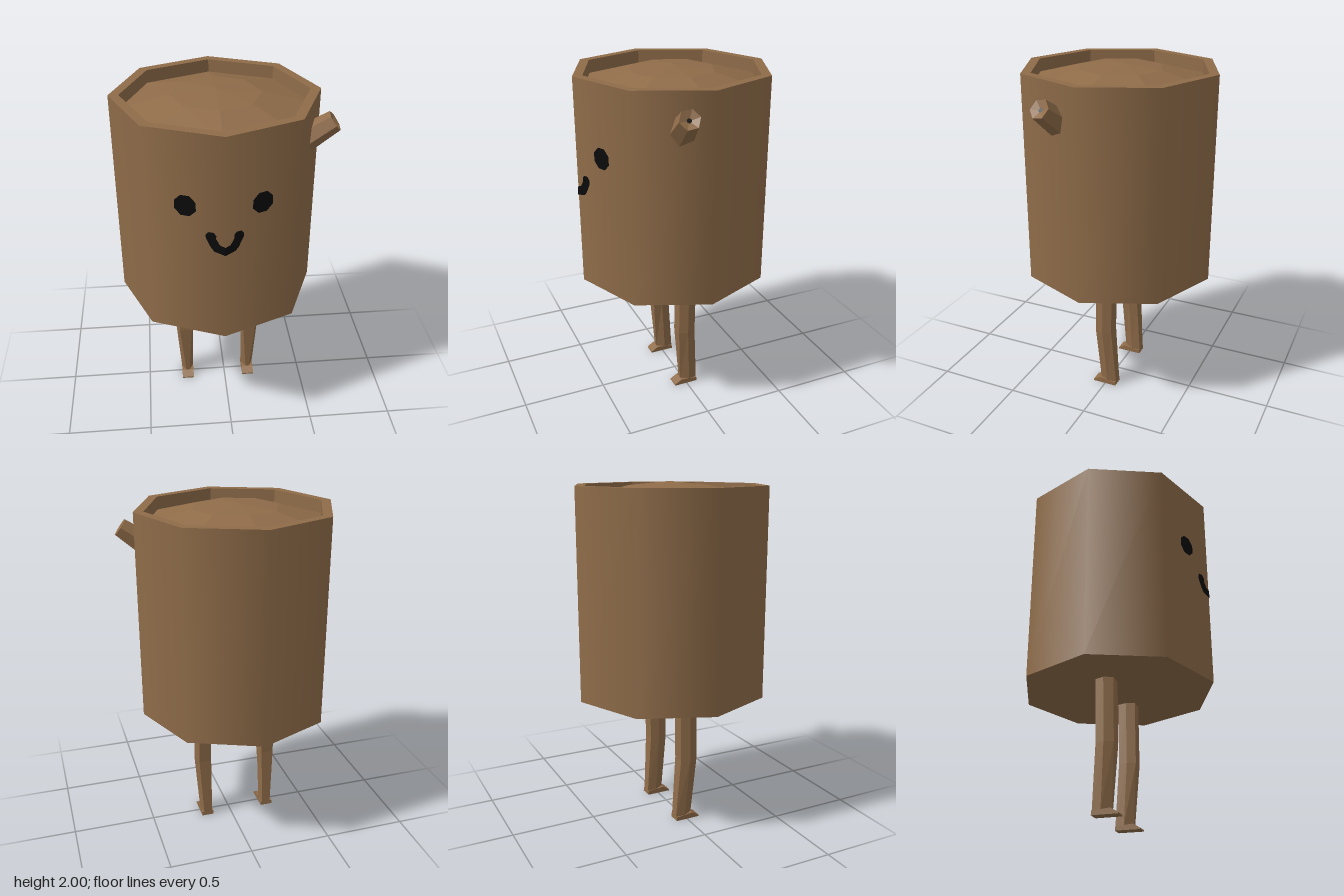
import * as THREE from 'three';

const CX = -0.045;   // body axis
const R = 0.572;     // body radius, corner to axis
const V = (x, y) => new THREE.Vector2(x, y);

// Unshare vertices so every face is flat
function flat(geo) {
  const g = geo.index ? geo.toNonIndexed() : geo;
  g.computeVertexNormals();
  return g;
}

export function createModel() {
  const model = new THREE.Group();
  const wood = new THREE.MeshStandardMaterial({ color: 0x8f6c49 });
  wood.name = 'wood brown';
  const black = new THREE.MeshStandardMaterial({ color: 0x0a0a0a });
  black.name = 'black';

  const add = (parent, name, geo, mat) => {
    const mesh = new THREE.Mesh(geo, mat);
    mesh.name = name;
    parent.add(mesh);
    return mesh;
  };

  // Body: smooth eight-sided wall, flat underside, rim with a domed lid set into it
  const body = new THREE.Group();
  body.name = 'body';
  body.position.x = CX;
  model.add(body);
  const wall = add(body, 'wall', new THREE.CylinderGeometry(R, R, 1.215, 8, 1, true), wood);
  wall.position.y = 1.3725;
  add(body, 'underside', flat(new THREE.LatheGeometry([V(0, 0.765), V(R, 0.765)], 8)), wood);
  add(body, 'rimAndLid', flat(new THREE.LatheGeometry(
    [V(R, 1.98), V(0.515, 1.98), V(0.515, 1.905), V(0.25, 1.975), V(0, 2)], 8)), wood);

  // Face: one eye and half the smile on each of the two front panels
  const smile = [[0, 1.31], [0.055, 1.325], [0.072, 1.345], [0.098, 1.4], [0.1, 1.42], [0.085, 1.44],
    [0.06, 1.44], [0.046, 1.425], [0.047, 1.405], [0.028, 1.37], [0, 1.36]];
  for (const side of [-1, 1]) {
    const panel = new THREE.Group();
    panel.name = side > 0 ? 'leftFacePanel' : 'rightFacePanel';
    panel.position.z = R + 0.004;
    panel.rotation.y = side * Math.PI / 8;
    body.add(panel);
    const eye = add(panel, 'eye', new THREE.CircleGeometry(0.063, 8, Math.PI / 8), black);
    eye.position.set(side * 0.216, 1.575, 0);
    const half = new THREE.Shape(smile.map(([x, y]) => V(side * x / 0.924, y)));
    add(panel, 'smileHalf', new THREE.ShapeGeometry(half), black);
  }

  // Branch stub: six-sided, with a hollowed tip and a dark pith
  const from = new THREE.Vector3(0.42, 1.752, 0.142);
  const to = new THREE.Vector3(0.575, 1.864, 0.172);
  const length = from.distanceTo(to);
  const branch = new THREE.Group();
  branch.name = 'branch';
  branch.position.copy(from);
  branch.quaternion.setFromUnitVectors(new THREE.Vector3(0, 1, 0), to.clone().sub(from).normalize());
  model.add(branch);
  add(branch, 'branchWood', flat(new THREE.LatheGeometry(
    [V(0.076, 0), V(0.058, length), V(0, length - 0.02)], 6)), wood);
  const pith = add(branch, 'pith', new THREE.CircleGeometry(0.014, 6), black);
  pith.rotation.x = -Math.PI / 2;
  pith.position.y = length - 0.014;

  // Legs: height, centre x, centre z, half width, half depth, front corners (inner, outer)
  const sections = [
    [0.02, 0.2, -0.017, 0.037, 0.053, -0.01, 0.01],
    [0.39, 0.209, 0.005, 0.054, 0.052, -0.042, 0.034],
    [0.78, 0.21, 0, 0.054, 0.053, -0.042, 0.034],
  ];
  for (const side of [-1, 1]) {
    const leg = new THREE.Group();
    leg.name = side > 0 ? 'leftLeg' : 'rightLeg';
    leg.position.x = CX;
    model.add(leg);

    const pos = [], index = [];
    for (const [y, cx, cz, w, d, fi, fo] of sections) {
      const ring = [[fi, d], [fo, d], [w, 0], [w * 0.65, -d], [-w * 0.75, -d], [-w, 0]];
      if (side < 0) ring.reverse();
      for (const [x, z] of ring) pos.push(side * (cx + x), y, cz + z);
    }
    for (let s = 0; s < sections.length - 1; s++) {
      for (let j = 0; j < 6; j++) {
        const a = s * 6 + j, b = s * 6 + (j + 1) % 6;
        index.push(a, b, b + 6, a, b + 6, a + 6);
      }
    }
    const shank = new THREE.BufferGeometry();
    shank.setAttribute('position', new THREE.Float32BufferAttribute(pos, 3));
    shank.setIndex(index);
    add(leg, 'shank', flat(shank), wood);

    // Foot: thin wedge with a short toe
    const profile = new THREE.Shape([V(-0.07, 0), V(0.08, 0), V(0.08, 0.008), V(0.036, 0.034), V(-0.068, 0.024)]);
    const foot = new THREE.ExtrudeGeometry(profile, { depth: 0.074, bevelEnabled: false });
    foot.translate(0, 0, -0.037);
    foot.rotateY(-Math.PI / 2);
    add(leg, 'foot', foot, wood).position.x = side * 0.2;
  }
  return model;
}
